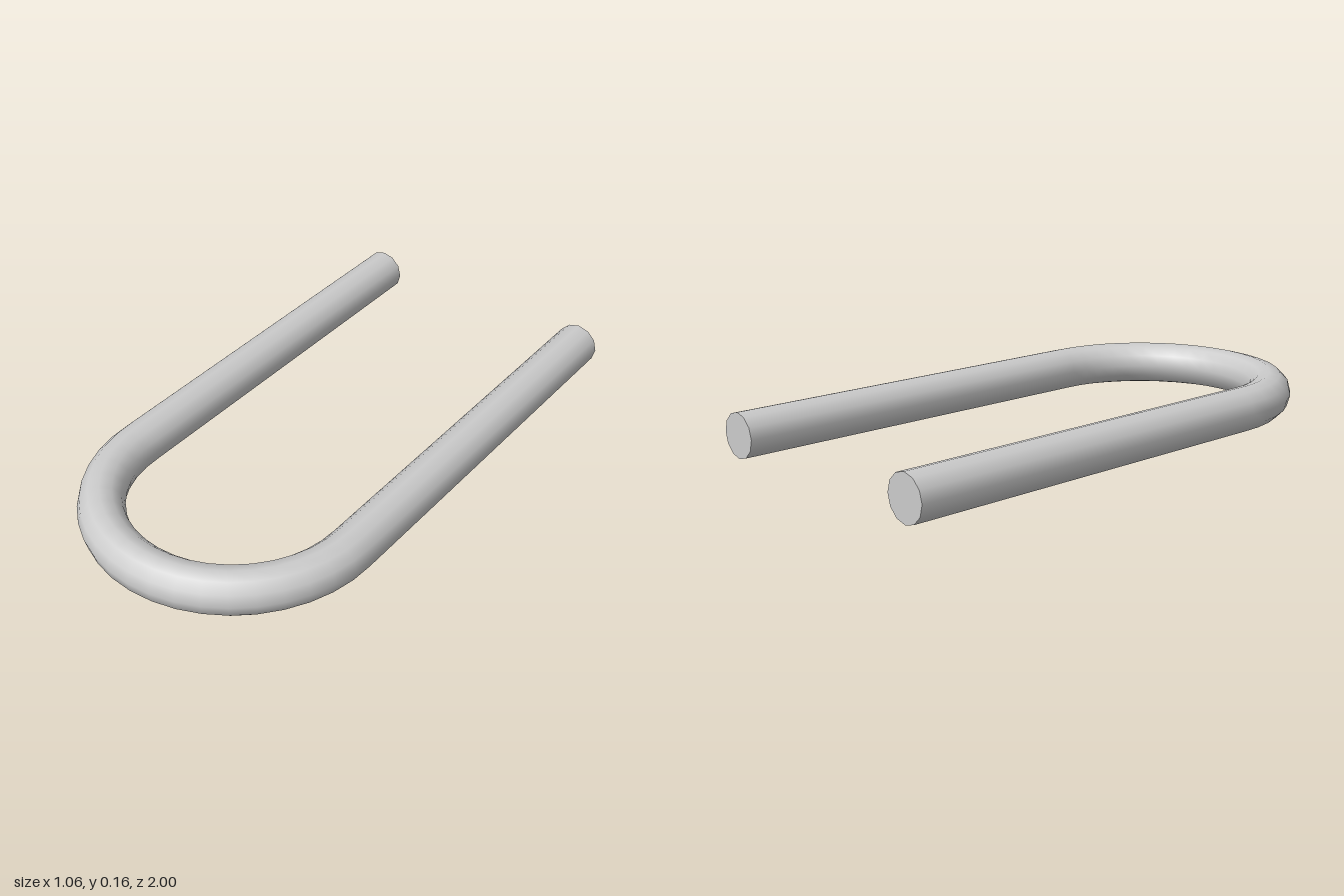
import * as THREE from 'three';

const R = 0.079;      // rod radius
const BEND = 0.449;   // radius of the bend's centreline
const BEND_Z = 0.472; // where the legs meet the bend
const SIDES = 12;

// U-shaped centreline: leg, half circle, leg
class UCurve extends THREE.Curve {
  constructor(endA, endB) {
    super();
    this.endA = endA;
    this.endB = endB;
  }
  getPoint(t, target = new THREE.Vector3()) {
    const legA = BEND_Z - this.endA;
    const legB = BEND_Z - this.endB;
    const arc = Math.PI * BEND;
    const s = t * (legA + arc + legB);
    if (s < legA) return target.set(-BEND, R, this.endA + s);
    if (s > legA + arc) return target.set(BEND, R, BEND_Z - (s - legA - arc));
    const a = (s - legA) / BEND;
    return target.set(-BEND * Math.cos(a), R, BEND_Z + BEND * Math.sin(a));
  }
}

export function createModel() {
  const group = new THREE.Group();
  group.name = 'uBolt';
  const material = new THREE.MeshStandardMaterial({ color: 0xcccccc });
  const ends = [-1, -0.99];

  // Bent rod
  const rod = new THREE.Mesh(
    new THREE.TubeGeometry(new UCurve(...ends), 60, R, SIDES, false), material);
  rod.name = 'bentRod';
  group.add(rod);

  // Flat end faces
  ends.forEach((z, i) => {
    const cap = new THREE.Mesh(new THREE.CircleGeometry(R, SIDES), material);
    cap.name = i ? 'leftEndCap' : 'rightEndCap';
    cap.rotation.y = Math.PI;
    cap.position.set(i ? BEND : -BEND, R, z);
    group.add(cap);
  });
  return group;
}
